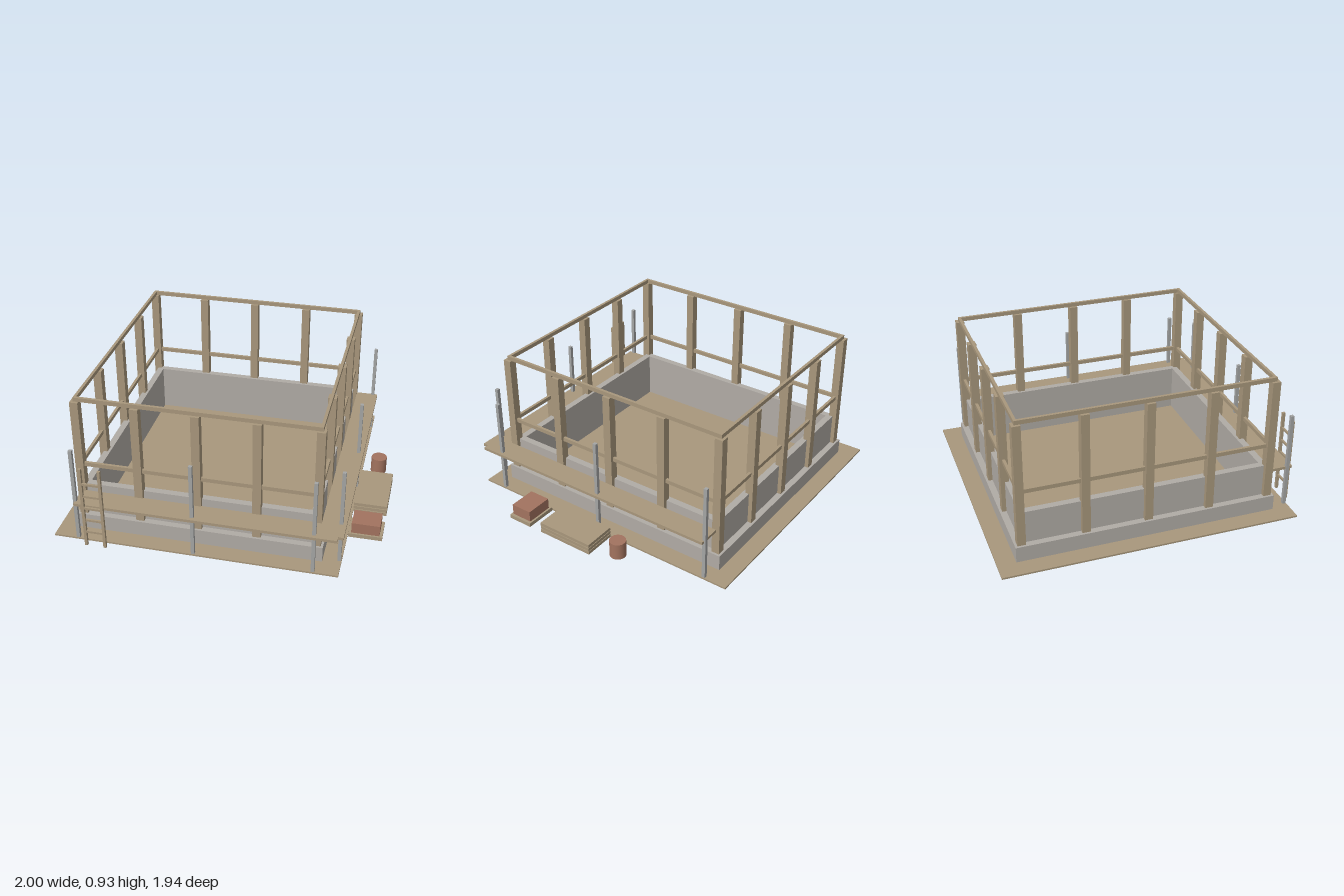
import * as THREE from 'three';

const material = (name, color) => {
  const m = new THREE.MeshStandardMaterial({ color });
  m.name = name;
  return m;
};

export function createModel() {
  const root = new THREE.Group();
  root.name = 'buildingSite';
  const wood = material('timber', 0xa8977c);
  const concrete = material('concrete', 0xb0aba5);
  const steel = material('steel', 0xa4a5a4);
  const brick = material('brick', 0xa2735f);

  const add = (parent, name, geometry, mat) => {
    const mesh = new THREE.Mesh(geometry, mat);
    mesh.name = name;
    parent.add(mesh);
    return mesh;
  };
  const group = (name) => {
    const g = new THREE.Group();
    g.name = name;
    root.add(g);
    return g;
  };
  // Box given by its limits on each axis
  const box = (parent, name, mat, [x0, x1], [y0, y1], [z0, z1]) =>
    add(parent, name, new THREE.BoxGeometry(x1 - x0, y1 - y0, z1 - z0), mat)
      .position.set((x0 + x1) / 2, (y0 + y1) / 2, (z0 + z1) / 2);
  const around = (c, half) => [c - half, c + half];

  // Centre of the house and half spans between corner columns
  const CX = -0.107, CZ = -0.022, HX = 0.737, HZ = 0.792;

  // Rectangular ring, offsets measured from the column lines
  const ring = (name, mat, inner, outer, y0, y1) => {
    const corners = (o) => [[-1, -1], [1, -1], [1, 1], [-1, 1]]
      .map(([sx, sz]) => new THREE.Vector2(sx * (HX + o), sz * (HZ + o)));
    const shape = new THREE.Shape(corners(outer));
    shape.holes.push(new THREE.Path(corners(inner).reverse()));
    const geo = new THREE.ExtrudeGeometry(shape, { depth: y1 - y0, bevelEnabled: false });
    geo.rotateX(-Math.PI / 2);
    add(root, name, geo, mat).position.set(CX, y0, CZ);
  };

  // Ground board, footing and foundation wall
  box(root, 'groundBoard', wood, [-1, 0.785], [0.001, 0.012], [-0.97, 0.922]);
  ring('footing', concrete, -0.043, 0.041, 0, 0.113);
  ring('foundationWall', concrete, -0.043, 0, 0.113, 0.323);

  // Timber columns around the perimeter
  const columns = group('columns');
  for (let i = -2; i <= 2; i++) {
    for (let j = -2; j <= 2; j++) {
      if (Math.abs(i) < 2 && Math.abs(j) < 2) continue;
      box(columns, 'column', wood, around(CX + i * HX / 2, 0.026), [0.113, 0.908],
        around(CZ + j * HZ / 2, 0.026));
    }
  }

  // Horizontal rails joining the columns
  ring('middleRails', wood, -0.009, 0.009, 0.457, 0.483);
  ring('topRails', wood, -0.009, 0.009, 0.908, 0.934);

  // Scaffold on the front and left sides
  const scaffold = group('scaffold');
  box(scaffold, 'frontWalkway', wood, [-0.845, 0.77], [0.267, 0.285], [0.79, 0.942]);
  box(scaffold, 'sideWalkway', wood, [0.655, 0.802], [0.267, 0.285], [-0.815, 0.905]);
  for (const k of [-1, 0, 1]) {
    box(scaffold, 'frontPole', steel, around(CX + k * HX, 0.011), [0, 0.647], around(0.908, 0.011));
    box(scaffold, 'sidePole', steel, around(0.77, 0.011), [0, 0.647], around(CZ + k * HZ, 0.011));
  }

  // Ladder leaning point at the front
  const ladder = group('ladder');
  for (const x of [-0.774, -0.654]) {
    box(ladder, 'ladderRail', wood, around(x, 0.009), [0, 0.56], [0.951, 0.969]);
  }
  for (let i = 0; i < 5; i++) {
    box(ladder, 'ladderRung', wood, [-0.77, -0.658], around(0.102 + i * 0.0875, 0.007), [0.954, 0.966]);
  }

  // Stack of boards with thin bearers between them
  const stack = group('boardStack');
  for (let i = 0; i < 3; i++) {
    const y = 0.004 + i * 0.0255;
    box(stack, 'board', wood, [0.787, 1], [y, y + 0.021], [-0.128, 0.257]);
    for (const z of [-0.08, 0.065, 0.21]) {
      box(stack, 'bearer', wood, [0.8, 0.987], [y - 0.004, y], around(z, 0.012));
    }
  }

  // Bricks on a pallet, and a barrel
  const supplies = group('supplies');
  box(supplies, 'pallet', wood, [0.787, 1], [0, 0.026], [0.35, 0.518]);
  box(supplies, 'brickPile', brick, [0.805, 0.982], [0.026, 0.098], [0.363, 0.506]);
  add(supplies, 'barrel', new THREE.CylinderGeometry(0.052, 0.052, 0.109, 32), brick)
    .position.set(0.89, 0.0545, -0.267);

  return root;
}
